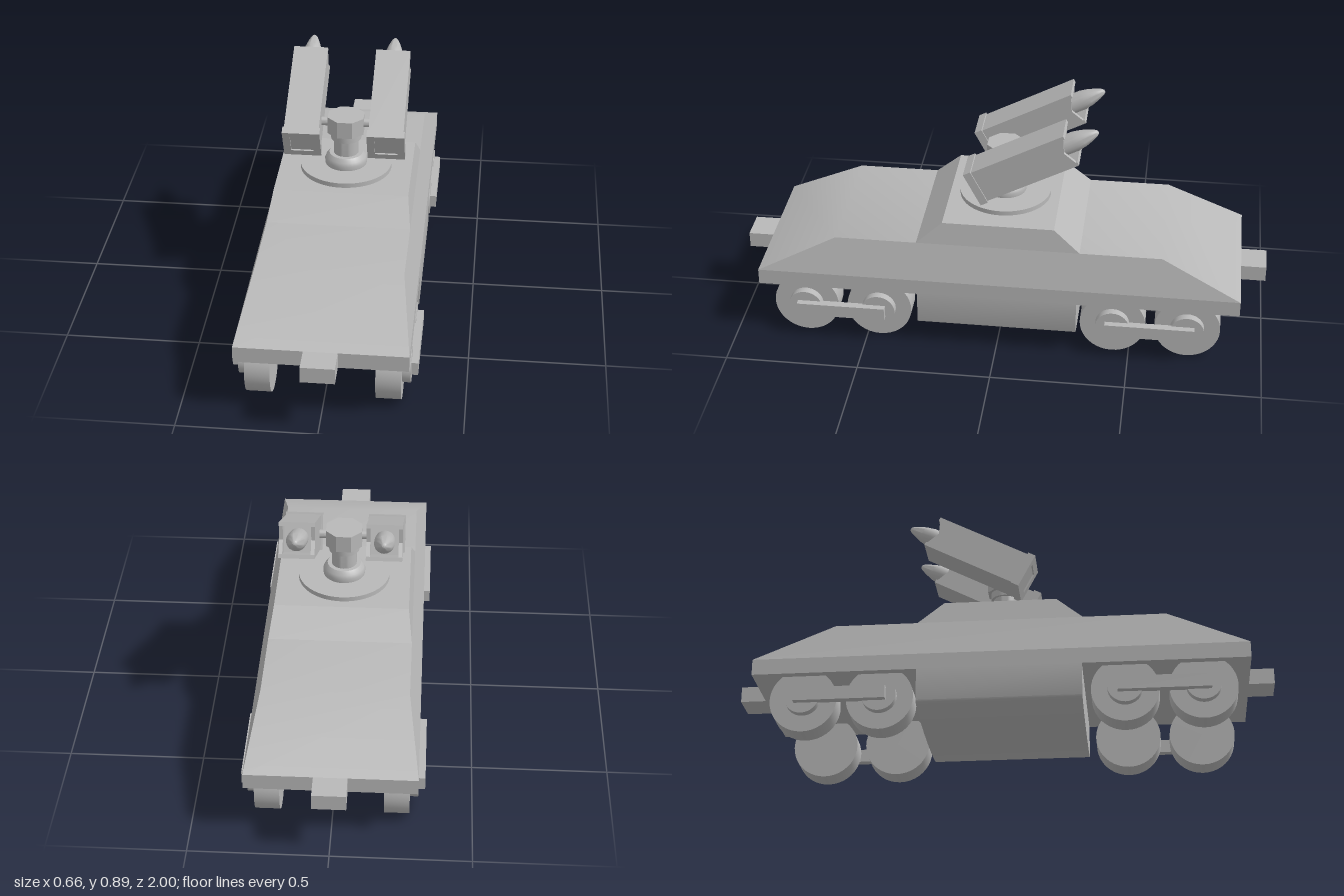
import * as THREE from 'three';
import { toCreasedNormals } from 'three/addons/utils/BufferGeometryUtils.js';

const grey = new THREE.MeshStandardMaterial({ color: 0xb8b8b8 });
grey.name = 'armour grey';

function add(parent, name, geometry, x = 0, y = 0, z = 0) {
  const mesh = new THREE.Mesh(toCreasedNormals(geometry, 0.6), grey);
  mesh.name = name;
  mesh.position.set(x, y, z);
  parent.add(mesh);
  return mesh;
}

const box = (w, h, d) => new THREE.BoxGeometry(w, h, d);
const lathe = (pts, n = 32) => new THREE.LatheGeometry(pts.map(p => new THREE.Vector2(...p)), n);
const extrude = (shape, depth, curveSegments = 12) =>
  new THREE.ExtrudeGeometry(shape, { depth, bevelEnabled: false, curveSegments });
const polygon = pts => new THREE.Shape(pts.map(p => new THREE.Vector2(...p)));

// Cylinder lying along x
const axle = (r, len, n = 32) => new THREE.CylinderGeometry(r, r, len, n).rotateZ(Math.PI / 2);

// Block with half sizes (x0, z0) at y0 tapering to (x1, z1) at y1
function frustum(y0, x0, z0, y1, x1, z1) {
  const g = box(2, 2, 2);
  const p = g.attributes.position;
  for (let i = 0; i < p.count; i++) {
    const top = p.getY(i) > 0;
    p.setXYZ(i, p.getX(i) * (top ? x1 : x0), top ? y1 : y0, p.getZ(i) * (top ? z1 : z0));
  }
  g.computeVertexNormals();
  return g;
}

function squareFrame(half, hole, depth) {
  const square = h => [[-h, -h], [h, -h], [h, h], [-h, h]];
  const shape = polygon(square(half));
  shape.holes.push(polygon(square(hole)));
  return extrude(shape, depth);
}

function buildHull() {
  const hull = new THREE.Group();
  hull.name = 'hull';
  add(hull, 'lowerDeck', box(0.61, 0.06, 1.81), 0, 0.247, 0);
  add(hull, 'slopedHull', frustum(0.277, 0.305, 0.905, 0.42, 0.265, 0.61));
  add(hull, 'upperCasemate', frustum(0.42, 0.265, 0.305, 0.505, 0.25, 0.208));
  // Belly with an elliptical underside
  const s = new THREE.Shape();
  s.moveTo(0.305, 0.095);
  s.lineTo(0.305, 0.22);
  s.lineTo(-0.305, 0.22);
  s.lineTo(-0.305, 0.095);
  s.absellipse(0, 0.095, 0.305, 0.031, Math.PI, Math.PI * 2, false);
  add(hull, 'belly', extrude(s, 0.6, 24), 0, 0, -0.3);
  for (const side of [1, -1]) add(hull, 'coupler', box(0.12, 0.06, 0.12), 0, 0.247, side * 0.94);
  return hull;
}

// Two wheels with hubs joined by a rod
function buildBogie(side, z) {
  const bogie = new THREE.Group();
  bogie.name = 'wheelPair';
  for (const dz of [-0.14, 0.14]) {
    add(bogie, 'wheel', axle(0.123, 0.09, 40), side * 0.23, 0.123, z + dz);
    add(bogie, 'hub', axle(0.064, 0.032), side * 0.289, 0.125, z + dz);
  }
  add(bogie, 'couplingRod', box(0.03, 0.05, 0.335), side * 0.314, 0.125, z);
  return bogie;
}

// Launcher: local +z is the lower end, local -z the muzzle
function buildLauncher(side) {
  const launcher = new THREE.Group();
  launcher.name = 'launcher';
  const h = 0.065, back = 0.19, t = 0.014;
  for (const s of [1, -1]) {
    add(launcher, 'tubePlate', box(2 * h, t, 2 * back), 0, s * (h - t / 2), 0);
    // Side wall with a notched muzzle edge
    const wall = polygon([[-back, -h], [back, -h], [back, h], [-back, h], [-back + 0.028, 0]]);
    const g = extrude(wall, t).rotateY(-Math.PI / 2);
    add(launcher, 'tubeSide', g, s * (h - t / 2) + t / 2, 0, 0);
  }
  add(launcher, 'tubeCore', box(0.11, 0.11, 0.29), 0, 0, 0.045);
  // Collar with a recessed panel
  add(launcher, 'endCollar', squareFrame(0.07, 0.042, 0.03), 0, 0, 0.186);
  add(launcher, 'endPanel', box(0.086, 0.086, 0.02), 0, 0, 0.2);
  const missile = lathe([[0, -0.1], [0.037, -0.1], [0.037, 0.012], [0.031, 0.045],
    [0.021, 0.075], [0.012, 0.096], [0.006, 0.103], [0, 0.105]], 20).rotateX(-Math.PI / 2);
  add(launcher, 'missile', missile, 0, 0, -back);
  launcher.position.set(side * 0.157, 0.74, -0.0935);
  launcher.rotation.x = 0.482;
  return launcher;
}

function buildTurret() {
  const turret = new THREE.Group();
  turret.name = 'turret';
  add(turret, 'turntable', new THREE.CylinderGeometry(0.172, 0.172, 0.02, 48), 0, 0.513, 0);
  add(turret, 'pedestal', lathe([[0, 0.52], [0.078, 0.52], [0.08, 0.54], [0.075, 0.553],
    [0.063, 0.567], [0.047, 0.567], [0.047, 0.628], [0.057, 0.628], [0.057, 0.656], [0, 0.656]]));
  const head = new THREE.CylinderGeometry(0.0725, 0.0725, 0.066, 8).rotateY(Math.PI / 8);
  add(turret, 'head', head, 0, 0.688, 0);
  add(turret, 'crossArm', axle(0.016, 0.19, 20), 0, 0.691, 0);
  for (const side of [1, -1]) turret.add(buildLauncher(side));
  return turret;
}

export function createModel() {
  const model = new THREE.Group();
  model.name = 'armouredRailCar';
  model.add(buildHull(), buildTurret());
  for (const side of [1, -1]) {
    for (const z of [0.592, -0.576]) model.add(buildBogie(side, z));
  }
  return model;
}
